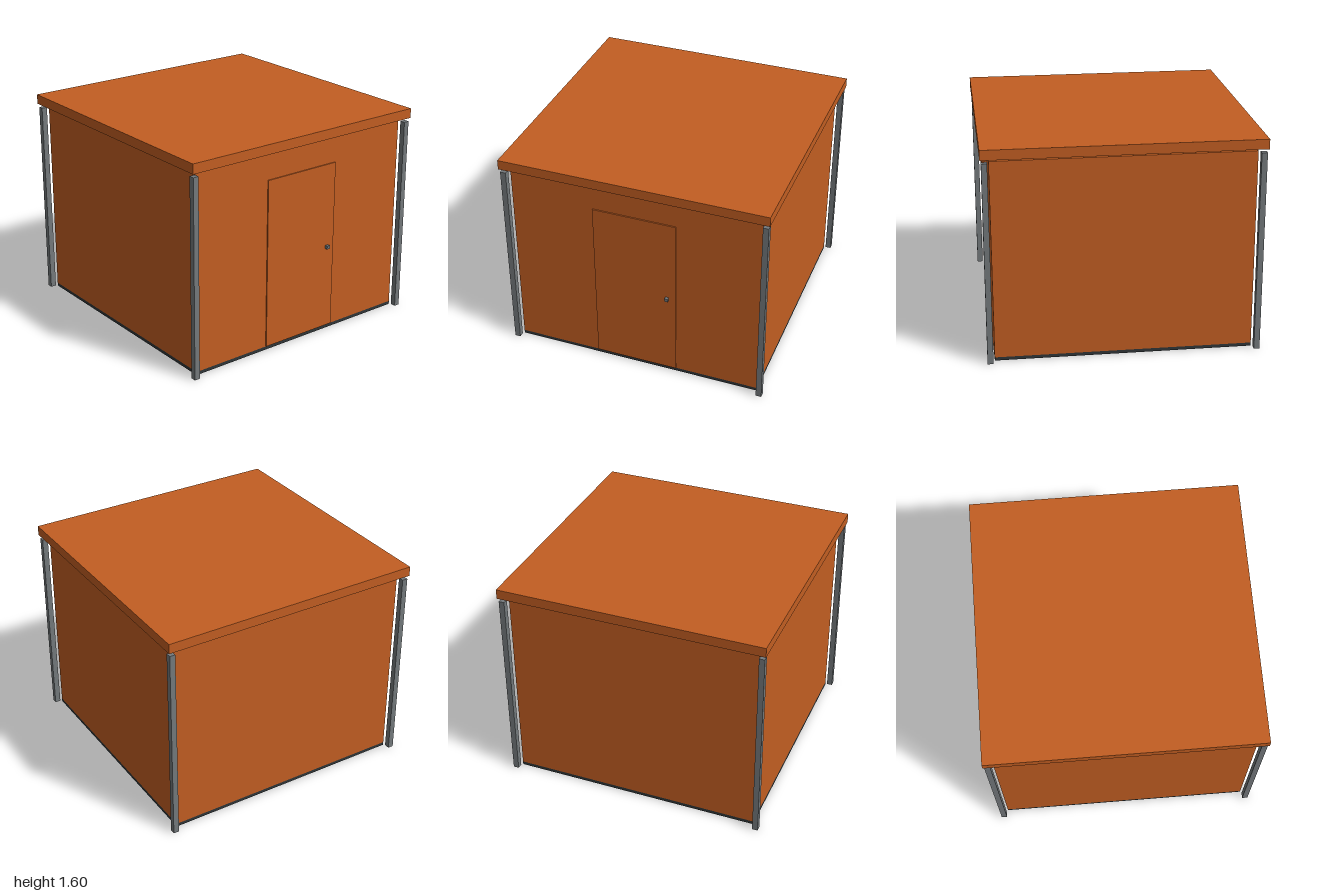
import * as THREE from 'three';

export function createModel() {
  const model = new THREE.Group();
  model.name = 'shed';

  const makeMaterial = (name, color) => {
    const material = new THREE.MeshStandardMaterial({ color });
    material.name = name;
    return material;
  };
  const orange = makeMaterial('orange panel', 0xc25e22);
  const steel = makeMaterial('grey steel', 0x74797c);
  const dark = makeMaterial('dark floor', 0x2f3537);

  // Box given by its size, bottom height and centre in plan
  const addBox = (name, material, [w, h, d], x, bottom, z) => {
    const mesh = new THREE.Mesh(new THREE.BoxGeometry(w, h, d), material);
    mesh.name = name;
    mesh.position.set(x, bottom + h / 2, z);
    model.add(mesh);
    return mesh;
  };

  const width = 1.875, half = width / 2;
  const floorHeight = 0.025, wallTop = 1.5, wallThickness = 0.03;
  const wallHeight = wallTop - floorHeight;

  // Floor slab and floating flat roof
  addBox('floor', dark, [width, floorHeight, width], 0, 0, 0);
  addBox('roof', orange, [2, 0.073, 2], 0, 1.527, 0);

  // Front and back walls run full width, side walls fit between them
  for (const side of [-1, 1]) {
    const offset = side * (half - wallThickness / 2);
    addBox(side > 0 ? 'frontWall' : 'backWall', orange,
      [width, wallHeight, wallThickness], 0, floorHeight, offset);
    addBox(side > 0 ? 'leftWall' : 'rightWall', orange,
      [wallThickness, wallHeight, width - 2 * wallThickness], offset, floorHeight, 0);
  }

  // Square corner posts, standing just clear of the walls
  for (const x of [-1, 1]) {
    for (const z of [-1, 1]) {
      addBox(`${z > 0 ? 'front' : 'back'}${x > 0 ? 'Left' : 'Right'}Post`, steel,
        [0.042, wallTop, 0.042], x * 0.97, 0, z * 0.97);
    }
  }

  // Door leaf and its knob
  addBox('door', orange, [0.625, 1.285, 0.009], 0, 0.029, half + 0.0045);
  addBox('doorKnob', steel, [0.025, 0.025, 0.025], 0.247, 0.66, half + 0.0205);

  return model;
}
